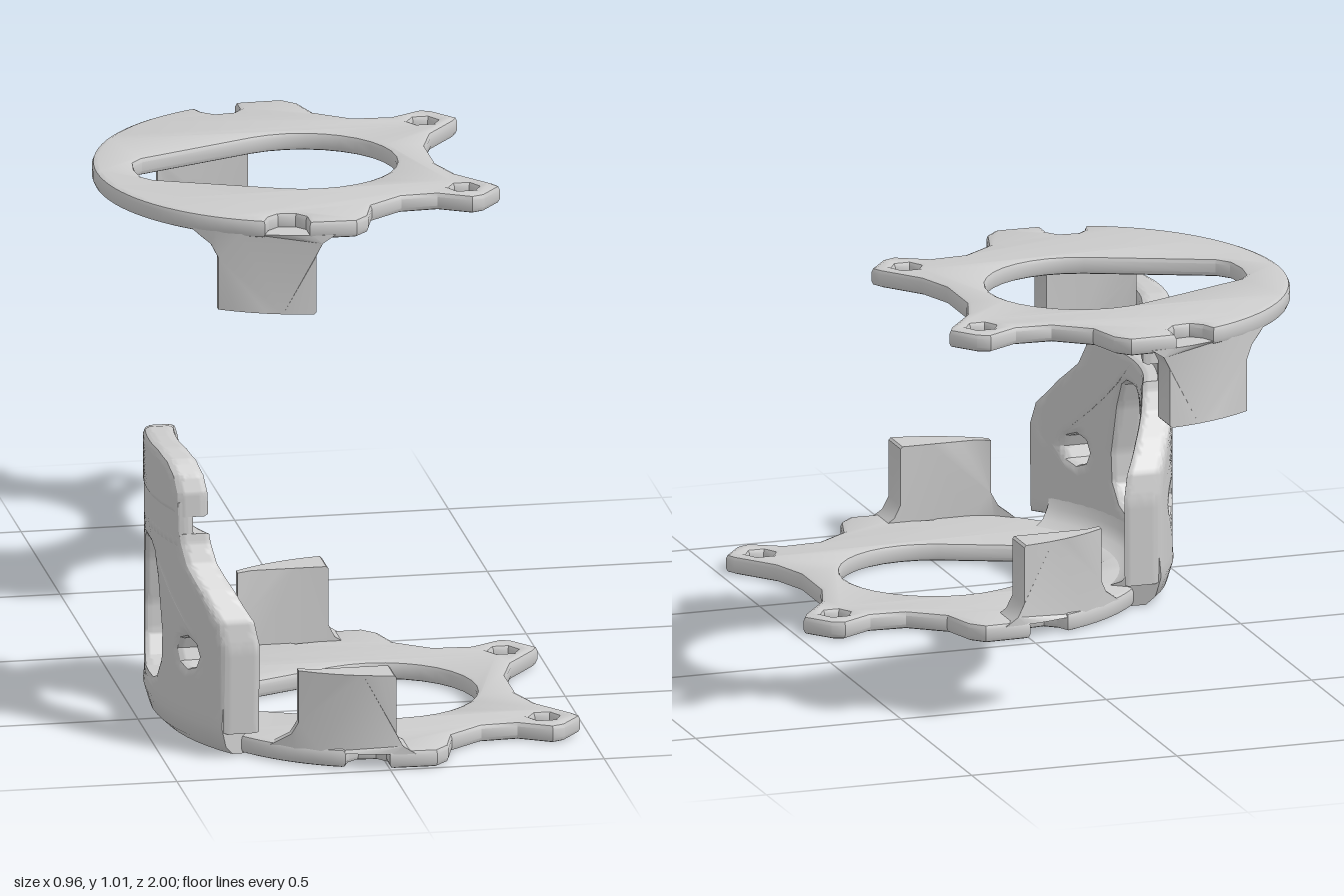
import * as THREE from 'three';
import { toCreasedNormals } from 'three/addons/utils/BufferGeometryUtils.js';

const CX = 0.07;   // centre of the round outline
const R = 0.485;   // plate radius
const T = 0.045;   // plate thickness
const material = new THREE.MeshStandardMaterial({ color: 0xcccccc });

const vecs = (pts) => pts.map(([x, y]) => new THREE.Vector2(x, y));

// Half outline plus its mirror; axis 'x' mirrors left-right, 'y' mirrors up-down
function mirrored(half, axis) {
  const other = half.slice().reverse()
    .map(([x, y]) => (axis === 'x' ? [-x, y] : [x, -y]))
    .filter(([x, y]) => Math.abs(axis === 'x' ? x : y) > 1e-4);
  return vecs([...half, ...other]);
}

function ngon(cx, cy, r, n) {
  return new THREE.Path(Array.from({ length: n }, (_, i) => {
    const a = (i / n) * Math.PI * 2;
    return new THREE.Vector2(cx + r * Math.cos(a), cy + r * Math.sin(a));
  }));
}

function extrude(shape, depth, bevel = 0, steps = 1) {
  const geo = new THREE.ExtrudeGeometry(shape, {
    depth: depth - 2 * bevel, steps, bevelEnabled: bevel > 0,
    bevelThickness: bevel, bevelSize: bevel, bevelOffset: -bevel, bevelSegments: 2,
  });
  return geo.translate(0, 0, bevel);
}

// Split every triangle in four, so that flat caps can be bent
function subdivide(geo, levels) {
  let p = Array.from(geo.attributes.position.array);
  for (let l = 0; l < levels; l++) {
    const out = [];
    for (let i = 0; i < p.length; i += 9) {
      const [a, b, c] = [0, 3, 6].map((o) => p.slice(i + o, i + o + 3));
      const mid = (u, v) => u.map((n, k) => (n + v[k]) / 2);
      const ab = mid(a, b), bc = mid(b, c), ca = mid(c, a);
      out.push(...[a, ab, ca, ab, b, bc, ca, bc, c, ab, bc, ca].flat());
    }
    p = out;
  }
  const res = new THREE.BufferGeometry();
  res.setAttribute('position', new THREE.Float32BufferAttribute(p, 3));
  return res;
}

// Move each vertex by a rule
function warp(geo, rule) {
  const pos = geo.attributes.position;
  for (let i = 0; i < pos.count; i++) {
    pos.setXYZ(i, ...rule(pos.getX(i), pos.getY(i), pos.getZ(i)));
  }
  return geo;
}

function part(name, geo) {
  geo.deleteAttribute('uv');
  geo.deleteAttribute('normal');
  const mesh = new THREE.Mesh(toCreasedNormals(geo, 0.55), material);
  mesh.name = name;
  return mesh;
}

// Round plate with side notches, two lugs and a teardrop opening
function plateGeometry() {
  const half = [[0.37, 0], [0.37, 0.07], [0.4, 0.16], [0.47, 0.25], [0.482, 0.275],
    [0.435, 0.335], [0.405, 0.347], [0.33, 0.305], [0.245, 0.31], [0.165, 0.37],
    [0.142, 0.45], [0.11, 0.483], [0, 0.48], [0, 0.43], [-0.02, 0.405],
    [-0.06, 0.4], [-0.085, 0.42]];
  const start = Math.atan2(0.454, -0.17);
  for (let i = 0; i <= 18; i++) {
    const a = start + ((Math.PI - start) * i) / 18;
    half.push([CX + R * Math.cos(a), R * Math.sin(a)]);
  }
  const shape = new THREE.Shape(mirrored(half, 'y'));
  const drop = [];
  for (let i = 0; i <= 10; i++) {
    const a = (i / 10) * 1.95;
    drop.push([CX + 0.217 * Math.cos(a), 0.217 * Math.sin(a)]);
  }
  drop.push([-0.29, 0.085], [-0.315, 0.055], [-0.322, 0]);
  shape.holes.push(new THREE.Path(mirrored(drop, 'y')));
  for (const s of [1, -1]) shape.holes.push(ngon(0.4, s * 0.265, 0.034, 6));
  return extrude(shape, T, 0.012).rotateX(Math.PI / 2).translate(0, T, 0);
}

// Upright tab: flat inside, following the round outline outside
function tabGeometry(side) {
  const pts = [[0.06, 0.035], [0.03, 0.055], [0.015, 0.085], [0.015, 0.22]];
  for (let i = 0; i <= 6; i++) pts.push([0.01 - 0.035 * i, 0.225]);
  pts.push([-0.2, 0.1], [-0.215, 0.07], [-0.235, 0.055], [-0.26, 0.035]);
  for (let i = 1; i < 6; i++) pts.push([-0.26 + (0.32 * i) / 6, 0.035]);
  const geo = extrude(new THREE.Shape(vecs(pts)), 1);
  return warp(geo, (x, y, t) => {
    const outer = Math.sqrt(R * R - (x - CX) ** 2) - 0.002;
    const inner = Math.min(0.395, outer - 0.02);
    return [x, y, side > 0 ? inner + (outer - inner) * t : -(outer + (inner - outer) * t)];
  });
}

// Bend a flat (z, y) outline around the plate centre
function curvedPanel(half, holes, rIn, rOut, bevel) {
  const shape = new THREE.Shape(mirrored(half, 'x'));
  shape.holes.push(...holes);
  const geo = subdivide(extrude(shape, rOut - rIn, bevel), 3);
  return warp(geo, (s, y, d) => [CX - Math.sqrt((rIn + d) ** 2 - s * s), y, -s])
    .applyMatrix4(new THREE.Matrix4()), flipWinding(geo);
}

function flipWinding(geo) {
  // The outline is symmetric, so test one face against the outward direction
  const p = geo.attributes.position;
  let volume = 0;
  const [a, b, c] = [0, 1, 2].map(() => new THREE.Vector3());
  for (let i = 0; i < p.count; i += 3) {
    [a, b, c].forEach((v, k) => v.fromBufferAttribute(p, i + k));
    volume += a.dot(b.cross(c));
  }
  if (volume < 0) {
    for (let i = 0; i < p.count; i += 3) {
      b.fromBufferAttribute(p, i + 1);
      c.fromBufferAttribute(p, i + 2);
      p.setXYZ(i + 1, c.x, c.y, c.z);
      p.setXYZ(i + 2, b.x, b.y, b.z);
    }
  }
  return geo;
}

function wall() {
  const g = new THREE.Group();
  g.name = 'backWall';

  // Rounded foot swept round the rear of the plate
  const foot = new THREE.Shape(vecs([[0.42, 0.005], [0.48, 0], [0.515, 0.006], [0.538, 0.028],
    [0.552, 0.075], [0.548, 0.12], [0.485, 0.12], [0.475, 0.08], [0.455, 0.056], [0.42, 0.042]]));
  const footGeo = warp(extrude(foot, 1, 0, 16), (r, y, t) => {
    const a = (t - 0.5) * 2 * 0.655;
    return [CX - r * Math.cos(a), y, r * Math.sin(a)];
  });
  g.add(part('wallFoot', flipWinding(footGeo)));

  // Main panel with a teardrop window and two screw holes
  const body = [[0, 0.06], [0.17, 0.06], [0.335, 0.06], [0.337, 0.27], [0.325, 0.325],
    [0.275, 0.39], [0.225, 0.44], [0.203, 0.485], [0.198, 0.505], [0, 0.505]];
  const hole = [[0, 0.115], [0.035, 0.117], [0.075, 0.135], [0.104, 0.18], [0.108, 0.25],
    [0.083, 0.37], [0.06, 0.425], [0.035, 0.44], [0, 0.442]];
  const holes = [new THREE.Path(mirrored(hole, 'x')),
    ngon(0.228, 0.23, 0.038, 8), ngon(-0.228, 0.23, 0.038, 8)];
  g.add(part('wallPanel', curvedPanel(body, holes, 0.48, 0.55, 0.01)));

  // Thin neck that forms the groove, and the thicker lip above it
  const neck = [[0, 0.47], [0.198, 0.47], [0.192, 0.58], [0, 0.58]];
  g.add(part('wallGroove', curvedPanel(neck, [], 0.515, 0.55, 0.006)));
  const lip = [[0, 0.545], [0.195, 0.545], [0.192, 0.6], [0.175, 0.64],
    [0.14, 0.668], [0.085, 0.681], [0, 0.682]];
  g.add(part('wallLip', curvedPanel(lip, [], 0.478, 0.552, 0.015)));
  return g;
}

// Plate with its two tabs
function ringPlate(name) {
  const g = new THREE.Group();
  g.name = name;
  g.add(part('plate', plateGeometry()));
  g.add(part('leftTab', tabGeometry(1)), part('rightTab', tabGeometry(-1)));
  return g;
}

export function createModel() {
  const model = new THREE.Group();
  model.name = 'bracketSet';

  const lower = ringPlate('lowerBracket');
  lower.add(wall());
  lower.position.set(0, 0, 0.515);

  // The second plate hangs upside down above and behind
  const upper = ringPlate('upperBracket');
  upper.rotation.x = Math.PI;
  upper.position.set(0, 1.01, -0.515);

  model.add(lower, upper);
  return model;
}
